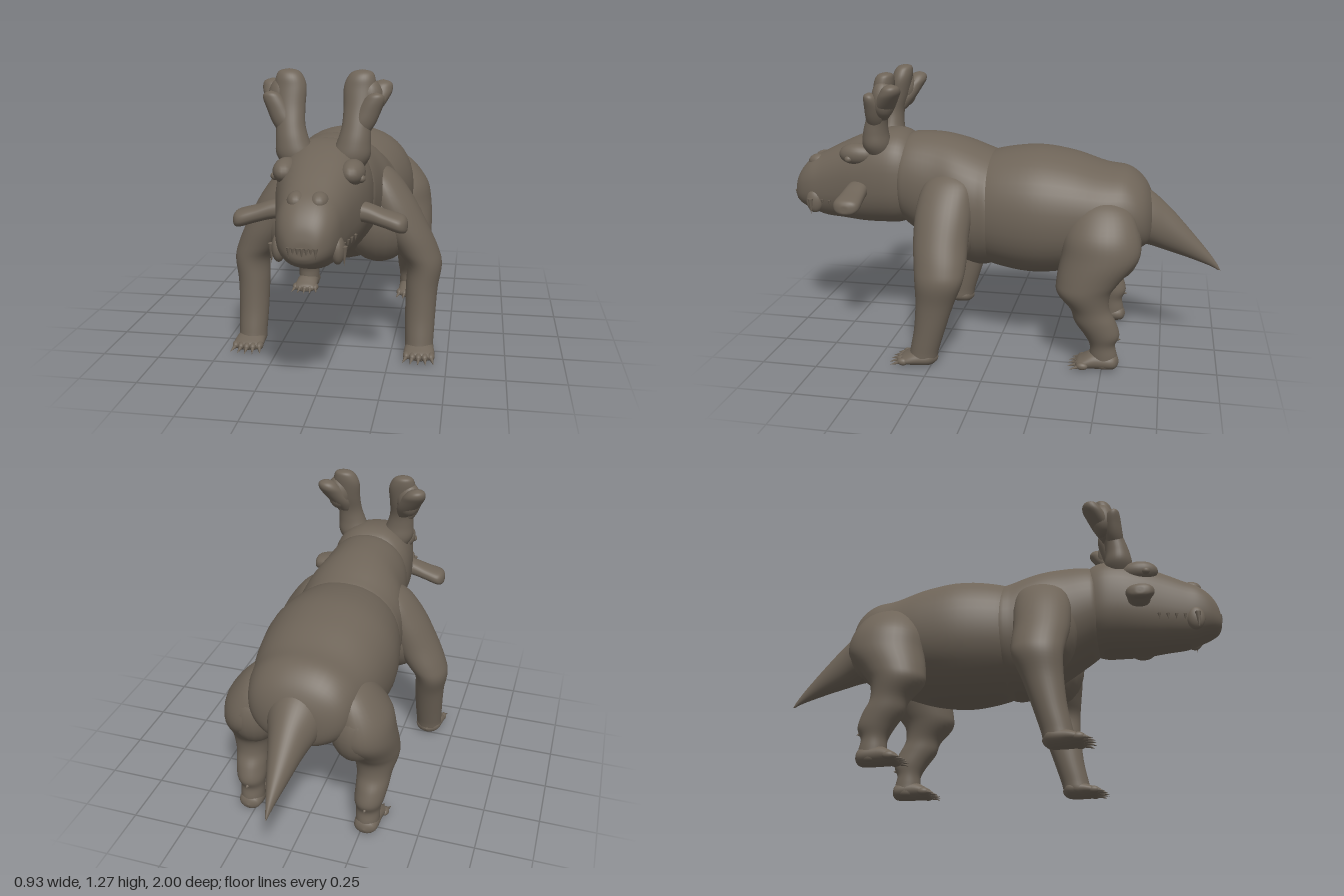
import * as THREE from 'three';

const X = new THREE.Vector3(1, 0, 0), Y = new THREE.Vector3(0, 1, 0), Z = new THREE.Vector3(0, 0, 1);
const bend = (n, p) => Math.sign(n) * Math.abs(n) ** p;

// Smooth closed skin over sections [x, y, z, a, b]; a and b lie along axes u and v, power < 1 squares the ellipse
function loft(sections, u, v, power = 1, sides = 32, steps = 5) {
  const path = new THREE.CatmullRomCurve3(sections.map(s => new THREE.Vector3(s[0], s[1], s[2])), false, 'catmullrom');
  const size = new THREE.CatmullRomCurve3(sections.map(s => new THREE.Vector3(s[3], s[4], 0)), false, 'catmullrom');
  const rings = (sections.length - 1) * steps;
  const position = [], index = [];
  const along = path.getPoint(1).sub(path.getPoint(0));
  const flip = new THREE.Vector3().crossVectors(u, v).dot(along) < 0;
  for (let i = 0; i <= rings; i++) {
    const c = path.getPoint(i / rings), r = size.getPoint(i / rings);
    if (i === 0 || i === rings) r.set(0, 0, 0);
    for (let j = 0; j < sides; j++) {
      const t = j / sides * Math.PI * 2;
      const p = c.clone()
        .addScaledVector(u, Math.max(r.x, 0.0005) * bend(Math.cos(t), power))
        .addScaledVector(v, Math.max(r.y, 0.0005) * bend(Math.sin(t), power));
      position.push(p.x, p.y, p.z);
      if (i === rings) continue;
      const a = i * sides + j, b = i * sides + (j + 1) % sides, d = a + sides, e = b + sides;
      if (flip) index.push(a, d, b, b, d, e);
      else index.push(a, b, d, b, e, d);
    }
  }
  const g = new THREE.BufferGeometry();
  g.setAttribute('position', new THREE.Float32BufferAttribute(position, 3));
  g.setIndex(index);
  g.computeVertexNormals();
  return g;
}

// Trunk sections [z, top, bottom, half width]
const trunk = (rows, power) => loft(rows.map(([z, t, b, w]) => [0, (t + b) / 2, z, w, (t - b) / 2]), X, Y, power, 40);

export function createModel() {
  const model = new THREE.Group();
  model.name = 'hornedBeast';
  const hide = new THREE.MeshStandardMaterial({ color: 0x6e6458 });
  hide.name = 'brownGreyHide';

  const add = (name, geometry) => {
    const m = new THREE.Mesh(geometry, hide);
    m.name = name;
    model.add(m);
    return m;
  };
  const ball = (name, x, y, z, rx, ry, rz) => {
    const m = add(name, new THREE.SphereGeometry(1, 20, 14));
    m.position.set(x, y, z);
    m.scale.set(rx, ry, rz);
    return m;
  };
  // Cone centred at a point, its tip turned from +y by tilt about x
  const spike = (name, x, y, z, r, h, tilt) => {
    const m = add(name, new THREE.ConeGeometry(r, h, 8));
    m.position.set(x, y, z);
    m.rotation.x = tilt;
    return m;
  };

  // Trunk
  add('torso', trunk([
    [.12, .72, .6, .05], [.1, .86, .44, .2], [.04, .91, .39, .26], [-.15, .94, .36, .3], [-.32, .92, .38, .29],
    [-.47, .875, .43, .26], [-.57, .86, .47, .235], [-.64, .81, .5, .2], [-.68, .74, .54, .13], [-.7, .65, .63, .01],
  ], .93));
  add('neckAndChest', trunk([
    [.5, .9, .62, .1], [.45, .96, .57, .18], [.4, .985, .53, .2], [.28, .985, .45, .22],
    [.18, .965, .4, .25], [.08, .93, .375, .26], [0, .89, .41, .25], [-.05, .8, .5, .1],
  ], .95));
  add('tail', trunk([
    [-.5, .7, .6, .05], [-.56, .8, .5, .13], [-.66, .765, .51, .115], [-.75, .695, .485, .08],
    [-.85, .59, .455, .05], [-.95, .475, .42, .018], [-1, .405, .395, .002],
  ]));

  // Head
  add('head', trunk([
    [.38, .85, .7, .02], [.4, .95, .6, .15], [.46, .995, .56, .188], [.55, .995, .553, .19], [.65, .968, .552, .174],
    [.75, .925, .56, .15], [.84, .88, .567, .13], [.9, .85, .587, .117], [.945, .81, .605, .098],
    [.975, .765, .622, .072], [.989, .72, .643, .045], [.992, .69, .66, .01],
  ], .85));
  for (let i = -3; i <= 3; i++) spike('frontTooth', i * .016, .668, .989 - Math.abs(i) * .0015, .01, .045, Math.PI);

  for (const s of [1, -1]) {
    const at = rows => rows.map(([x, ...rest]) => [s * x, ...rest]);

    // Face details
    ball('nostrilBump', s * .042, .832, .868, .036, .036, .05);
    ball('brow', s * .13, .895, .645, .05, .05, .085);
    ball('eye', s * .168, .878, .675, .016, .016, .018);
    ball('lipBump', s * .11, .655, .875, .026, .055, .04);
    spike('tusk', s * .135, .635, .885, .013, .075, Math.PI);
    for (let i = 0; i < 4; i++) spike('sideTooth', s * (.125 + i * .009), .658, .83 - i * .037, .008, .026, Math.PI);

    // Paddle shaped cheek horn
    add('cheekHorn', loft(at([
      [.1, .745, .635, .05, .04], [.18, .738, .637, .05, .038], [.25, .718, .64, .056, .034],
      [.305, .702, .642, .061, .035], [.33, .696, .642, .05, .032], [.342, .692, .642, .025, .02], [.344, .692, .642, .004, .004],
    ]), Z, Y, .85));

    // Three pronged antler, webbed where the prongs part
    add('antlerStem', loft(at([
      [.1, .88, .55, .05, .05], [.11, .94, .555, .076, .064], [.122, 1, .555, .066, .056], [.131, 1.06, .545, .058, .048],
      [.138, 1.13, .522, .062, .047], [.138, 1.2, .505, .064, .045], [.142, 1.24, .498, .055, .042],
      [.146, 1.263, .492, .038, .03], [.146, 1.272, .49, .002, .002],
    ]), X, Z));
    ball('antlerWeb', s * .172, 1.155, .498, .058, .085, .052);
    add('rearProng', loft(at([
      [.14, 1.05, .52, .02, .02], [.165, 1.11, .5, .05, .045], [.196, 1.165, .47, .055, .047],
      [.211, 1.195, .453, .05, .044], [.22, 1.218, .447, .035, .032], [.222, 1.23, .445, .002, .002],
    ]), X, Z));
    add('frontProng', loft(at([
      [.135, 1.0, .55, .02, .02], [.15, 1.06, .545, .05, .04], [.178, 1.12, .542, .048, .04],
      [.198, 1.16, .546, .041, .032], [.205, 1.18, .55, .028, .022], [.206, 1.19, .552, .002, .002],
    ]), X, Z));

    // Front leg, sprawling out to the elbow
    ball('shoulder', s * .185, .59, .22, .16, .18, .14);
    add('frontLeg', loft(at([
      [.17, .85, .2, .01, .01], [.19, .8, .205, .068, .1], [.232, .7, .215, .102, .125], [.295, .57, .218, .108, .122],
      [.352, .47, .21, .095, .115], [.385, .4, .21, .078, .105], [.378, .3, .23, .07, .085], [.375, .18, .255, .066, .07],
      [.375, .08, .28, .062, .064], [.375, .03, .29, .058, .06], [.375, .01, .29, .02, .02],
    ]), X, Z));
    add('frontFoot', loft(at([
      [.375, .04, .22, .01, .01], [.375, .045, .25, .055, .037], [.378, .042, .31, .064, .037],
      [.38, .034, .36, .066, .025], [.38, .03, .385, .05, .016], [.38, .03, .39, .005, .005],
    ]), X, Y));

    // Hind leg
    add('hindLeg', loft(at([
      [.18, .77, -.48, .01, .01], [.2, .72, -.48, .075, .11], [.232, .62, -.478, .12, .16], [.25, .52, -.475, .125, .168],
      [.27, .42, -.43, .112, .138], [.28, .36, -.412, .1, .116], [.282, .29, -.44, .078, .085], [.28, .23, -.465, .072, .09],
      [.275, .17, -.495, .065, .078], [.272, .12, -.5, .054, .056], [.272, .07, -.505, .053, .06],
      [.272, .025, -.505, .05, .058], [.272, .008, -.5, .02, .02],
    ]), X, Z));
    ball('hipLobe', s * .225, .56, -.525, .115, .155, .125);
    spike('heelSpur', s * .272, .15, -.555, .03, .05, -1.7);
    add('hindFoot', loft(at([
      [.272, .04, -.575, .01, .01], [.272, .045, -.55, .05, .037], [.274, .047, -.47, .055, .042],
      [.277, .034, -.41, .058, .026], [.277, .03, -.39, .045, .016], [.277, .03, -.385, .005, .005],
    ]), X, Y));

    // Toes and claws, fanned out
    for (const [name, x, z] of [['front', .38, .38], ['hind', .277, -.405]]) {
      for (let i = 0; i < 5; i++) {
        const k = (i - 2) / 2, dz = -.012 * k * k;
        ball(name + 'Toe', s * (x + k * .053), .032, z + dz, .016, .017, .026);
        const claw = spike(name + 'Claw', s * (x + k * .06), .024, z + dz + .034, .011, .048, Math.PI / 2 + .3);
        claw.rotation.z = -s * k * .3;
      }
    }
  }
  return model;
}
